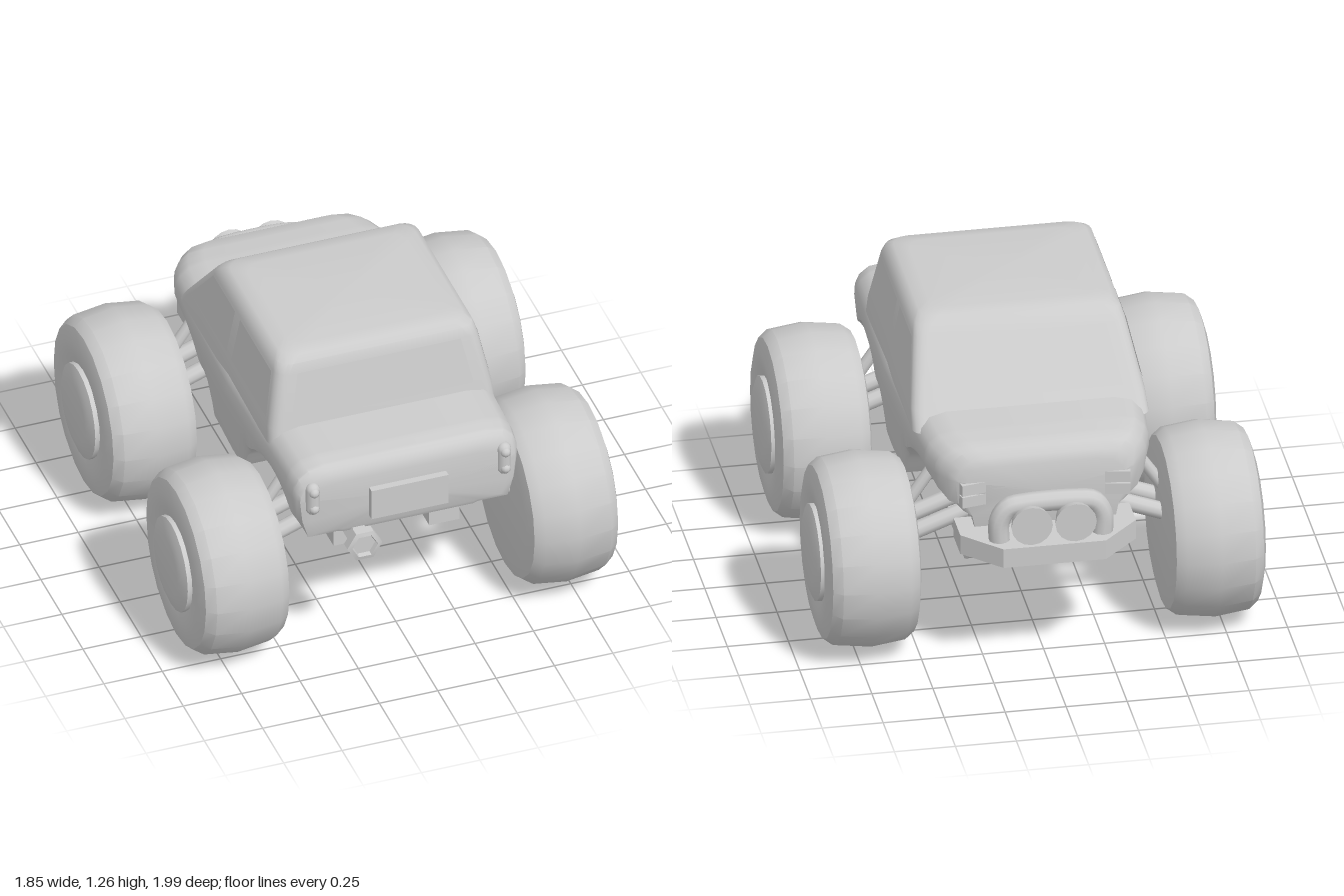
import * as THREE from 'three';
import { toCreasedNormals } from 'three/addons/utils/BufferGeometryUtils.js';

const grey = new THREE.MeshStandardMaterial({ color: 0xcccccc });
const thin = new THREE.MeshStandardMaterial({ color: 0xcccccc, side: THREE.DoubleSide });
const WHEEL_Z = [0.59, -0.51];
const WHEEL_Y = 0.41;

// Skin over matching closed rings, with fan caps at both ends
function loft(rings, crease = 0.6) {
  const n = rings[0].length, pos = [], idx = [];
  rings.forEach(r => r.forEach(p => pos.push(...p)));
  for (let i = 0; i < rings.length - 1; i++) {
    for (let j = 0; j < n; j++) {
      const k = (j + 1) % n, a = i * n + j, b = i * n + k;
      idx.push(a, b, a + n, b, b + n, a + n);
    }
  }
  [0, rings.length - 1].forEach((i, end) => {
    const c = pos.length / 3;
    pos.push(...[0, 1, 2].map(k => rings[i].reduce((s, p) => s + p[k], 0) / n));
    for (let j = 0; j < n; j++) {
      const a = i * n + j, b = i * n + (j + 1) % n;
      if (end) idx.push(c, a, b); else idx.push(c, b, a);
    }
  });
  const g = new THREE.BufferGeometry();
  g.setAttribute('position', new THREE.Float32BufferAttribute(pos, 3));
  g.setIndex(idx);
  return toCreasedNormals(g, crease);
}

// Interpolate rows of [key, ...values] whose keys descend
function sample(rows, z) {
  let i = 0;
  while (i < rows.length - 2 && z < rows[i + 1][0]) i++;
  const t = (rows[i][0] - z) / (rows[i][0] - rows[i + 1][0]);
  return rows[i].map((v, k) => v + (rows[i + 1][k] - v) * t);
}

export function createModel() {
  const model = new THREE.Group();
  const add = (name, geo, x = 0, y = 0, z = 0, mat = grey) => {
    const m = new THREE.Mesh(geo, mat);
    m.name = name;
    m.position.set(x, y, z);
    model.add(m);
    return m;
  };
  const box = (name, w, h, d, x, y, z) => add(name, new THREE.BoxGeometry(w, h, d), x, y, z);
  const rod = (name, a, b, r) => {
    const p = new THREE.Vector3(...a), q = new THREE.Vector3(...b);
    const m = add(name, new THREE.CylinderGeometry(r, r, p.distanceTo(q), 10));
    m.position.copy(p).lerp(q, 0.5);
    m.quaternion.setFromUnitVectors(new THREE.Vector3(0, 1, 0), q.sub(p).normalize());
  };
  const panel = (name, pts) => {
    const g = new THREE.BufferGeometry();
    g.setAttribute('position', new THREE.Float32BufferAttribute(pts.flat(), 3));
    g.setIndex([0, 1, 2, 0, 2, 3]);
    g.computeVertexNormals();
    add(name, g, 0, 0, 0, thin);
  };

  // Lower body: z, half width, top, bottom; wheel arches cut into the sides
  const stations = [
    [0.905, 0.43, 0.885, 0.65], [0.895, 0.462, 0.925, 0.63], [0.865, 0.478, 0.955, 0.62],
    [0.8, 0.485, 0.966, 0.62], [0.6, 0.49, 0.97, 0.6], [0.45, 0.495, 0.97, 0.53],
    [0.1, 0.5, 0.97, 0.53], [-0.4, 0.48, 0.966, 0.53], [-0.6, 0.46, 0.958, 0.53],
    [-0.69, 0.432, 0.95, 0.53], [-0.745, 0.395, 0.938, 0.53], [-0.775, 0.365, 0.915, 0.54],
    [-0.79, 0.335, 0.88, 0.57]];
  const zs = stations.map(s => s[0]);
  for (let z = 0.88; z > -0.76; z -= 0.03) zs.push(z);
  zs.sort((a, b) => b - a);
  const bodyRings = zs.map(z => {
    const [, w, top, b] = sample(stations, z);
    let arch = b + 0.005;
    for (const c of WHEEL_Z) {
      const d = 0.38 ** 2 - (z - c) ** 2;
      if (d > 0) arch = Math.max(arch, WHEEL_Y + Math.sqrt(d));
    }
    const half = [[w - 0.13, top], [w - 0.06, top - 0.012], [w - 0.02, top - 0.045],
      [w - 0.003, top - 0.085], [w, Math.max(0.82, arch + 0.02)],
      [w - 0.01, Math.max(0.72, arch + 0.01)], [w - 0.035, arch], [0.3, arch], [0.28, b]];
    return [...half.map(([x, y]) => [x, y, z]), ...half.reverse().map(([x, y]) => [-x, y, z])];
  });
  add('body', loft(bodyRings, 0.7));

  // Cabin: y, half width, rear z, windscreen z, corner radius
  const levels = [[0.9, 0.485, 0.615, -0.5, 0.05], [0.97, 0.48, 0.6, -0.44, 0.05],
    [1.2, 0.435, 0.55, -0.245, 0.05], [1.24, 0.422, 0.538, -0.212, 0.06],
    [1.263, 0.395, 0.51, -0.18, 0.07], [1.272, 0.34, 0.45, -0.12, 0.07]];
  const cabinRings = levels.map(([y, w, z0, z1, r]) => {
    const ring = [];
    for (let q = 0; q < 4; q++) {
      const cx = (q < 2 ? 1 : -1) * (w - r), cz = q === 0 || q === 3 ? z0 - r : z1 + r;
      for (let i = 0; i <= 4; i++) {
        const t = (q + i / 4) * Math.PI / 2;
        ring.push([cx + r * Math.sin(t), y, cz + r * Math.cos(t)]);
      }
    }
    return ring;
  });
  add('cabin', loft(cabinRings, 0.7));

  // Windows
  const screenZ = y => -0.443 + (y - 0.97) * 0.848;
  const backZ = y => 0.603 - (y - 0.97) * 0.217;
  const across = (name, f) => panel(name,
    [[-0.39, 1.0, f(1.0)], [0.39, 1.0, f(1.0)], [0.35, 1.2, f(1.2)], [-0.35, 1.2, f(1.2)]]);
  across('windscreen', screenZ);
  across('rearWindow', backZ);
  for (const s of [1, -1]) {
    const side = (y, z) => [s * (0.483 - (y - 0.97) * 0.196), y, z];
    panel('rearSideWindow', [side(1, 0.53), side(1, 0.12), side(1.19, 0.12), side(1.19, 0.49)]);
    panel('frontSideWindow', [side(1, 0.06), side(1, -0.36), side(1.19, -0.2), side(1.19, 0.06)]);
  }

  // Wheels: radius, offset along the axle
  const profile = [[0, -0.195], [0.29, -0.195], [0.355, -0.18], [0.385, -0.14], [0.403, 0],
    [0.385, 0.14], [0.355, 0.178], [0.3, 0.195], [0.24, 0.192], [0.2, 0.18], [0.2, 0.2],
    [0.17, 0.212], [0.13, 0.22], [0, 0.22]].map(p => new THREE.Vector2(...p));
  for (const s of [1, -1]) {
    for (const z of WHEEL_Z) {
      const g = new THREE.LatheGeometry(profile, 20).rotateZ(-s * Math.PI / 2);
      add('wheel', toCreasedNormals(g, 0.6), s * 0.705, WHEEL_Y, z);
      // Suspension
      for (const dz of [-0.07, 0.07]) {
        rod('suspensionArm', [s * 0.22, 0.61, z + dz], [s * 0.54, 0.49, z + dz], 0.035);
      }
      rod('shockAbsorber', [s * 0.38, 0.8, z], [s * 0.53, 0.58, z], 0.025);
    }
    // Chassis rail, tail lamp and headlamp
    box('chassisRail', 0.13, 0.16, 0.42, s * 0.205, 0.54, 0.55);
    add('tailLampHousing', new THREE.CapsuleGeometry(0.03, 0.09, 4, 10), s * 0.41, 0.83, 0.9);
    for (const y of [0.79, 0.87]) {
      add('tailLamp', new THREE.SphereGeometry(0.022, 10, 6), s * 0.41, y, 0.918);
    }
    for (const y of [0.738, 0.792]) {
      box('headlamp', 0.16, 0.048, 0.04, s * 0.27, y, -0.775).rotation.y = s * 0.2;
    }
    // Spot lamp
    const lamp = new THREE.CylinderGeometry(0.085, 0.07, 0.07, 16).rotateX(-Math.PI / 2);
    add('spotLamp', lamp, s * 0.09, 0.7, -0.95);
  }
  box('chassisPlate', 0.58, 0.1, 0.36, 0, 0.58, 0.55);

  // Skid plate under the engine
  const skid = [[-0.2, 0.5], [-0.28, 0.38], [-0.62, 0.38], [-0.86, 0.52]].map(([z, b]) => {
    const m = Math.max(0.46, b + 0.005);
    return [[-0.34, 0.54, z], [0.34, 0.54, z], [0.3, m, z], [0.3, b, z], [-0.3, b, z], [-0.3, m, z]];
  });
  add('skidPlate', loft(skid, 0.2));

  // Bumper
  const outline = new THREE.Shape(
    [[-0.36, 0.7], [0.36, 0.7], [0.36, 0.85], [0.21, 1], [-0.21, 1], [-0.36, 0.85]]
      .map(p => new THREE.Vector2(...p)));
  const bumper = new THREE.ExtrudeGeometry(outline, { depth: 0.085, bevelEnabled: false });
  add('bumper', bumper.rotateX(-Math.PI / 2), 0, 0.53, 0);

  // Bull bar
  const bar = new THREE.CatmullRomCurve3(
    [[-0.21, 0.58], [-0.21, 0.7], [-0.175, 0.755], [-0.11, 0.768], [0.11, 0.768],
      [0.175, 0.755], [0.21, 0.7], [0.21, 0.58]].map(([x, y]) => new THREE.Vector3(x, y, -0.91)));
  add('bullBar', new THREE.TubeGeometry(bar, 40, 0.043, 10), 0, 0, 0, thin);

  // Number plate and hexagonal exhaust
  box('numberPlate', 0.33, 0.14, 0.04, -0.005, 0.76, 0.915);
  const pipe = [[0.05, -0.15], [0.05, 0.0], [0.075, 0.02], [0.075, 0.06], [0.055, 0.065],
    [0.05, 0.045], [0, 0.045]].map(p => new THREE.Vector2(...p));
  const exhaust = new THREE.LatheGeometry(pipe, 6).rotateX(Math.PI / 2).rotateZ(Math.PI / 6);
  add('exhaust', toCreasedNormals(exhaust, 0.3), -0.215, 0.6, 0.92, thin);
  rod('exhaustPipe', [-0.215, 0.6, 0.8], [-0.215, 0.58, 0.6], 0.04);

  return model;
}
